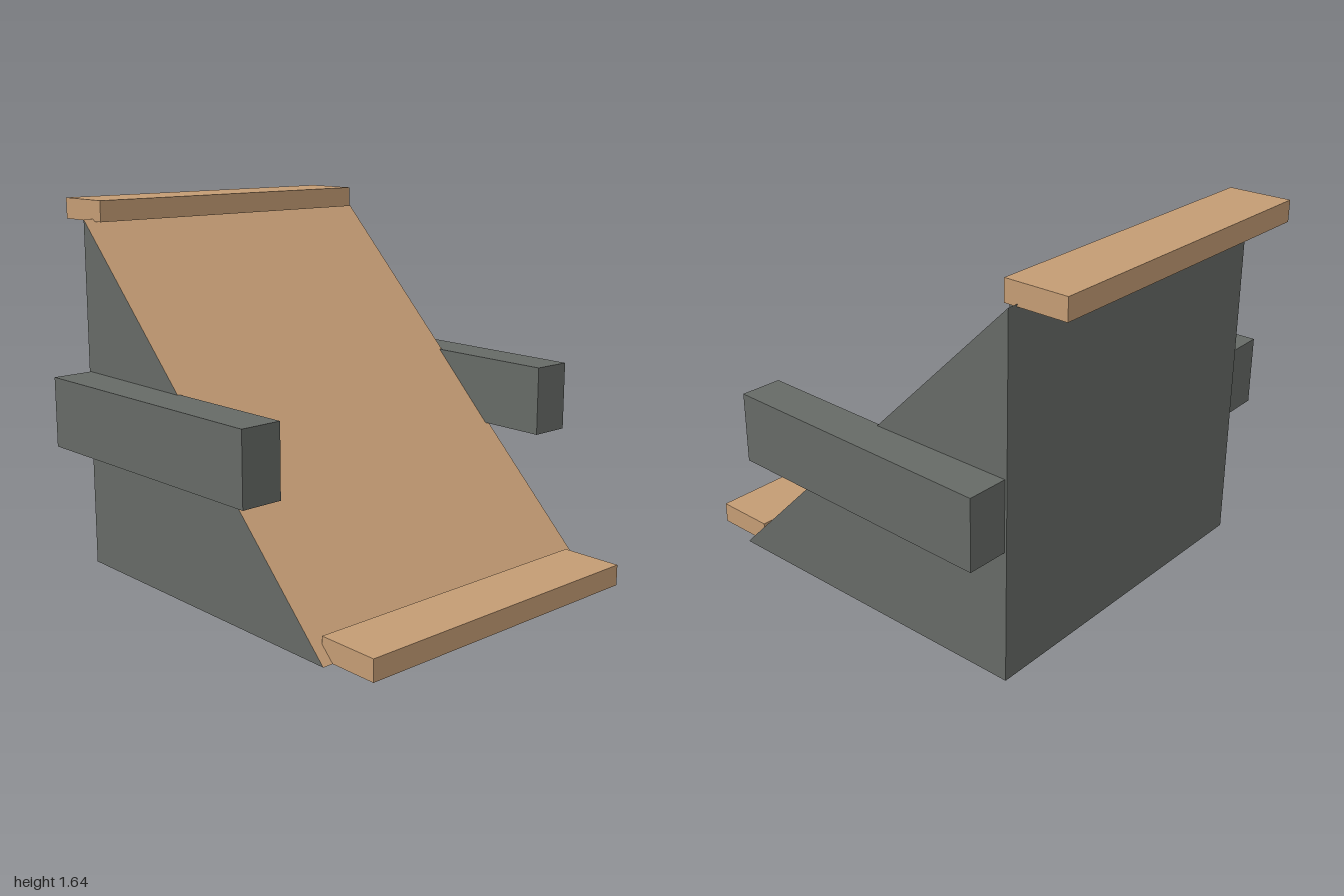
import * as THREE from 'three';

const wood = new THREE.MeshStandardMaterial({ color: 0xc49c74, flatShading: true });
const grey = new THREE.MeshStandardMaterial({ color: 0x666a66, flatShading: true });

const SIZE = 1.56; // width, height and depth of the wedge

function addMesh(group, name, geometry, material, x, y, z) {
  const mesh = new THREE.Mesh(geometry, material);
  mesh.name = name;
  mesh.position.set(x, y, z);
  group.add(mesh);
  return mesh;
}

// A cube with its top front edge dropped to the floor; keeps only the listed triangles
function wedgeFaces(triangles) {
  const geo = new THREE.BoxGeometry(SIZE, SIZE, SIZE);
  const pos = geo.attributes.position;
  for (let i = 0; i < pos.count; i++) {
    if (pos.getZ(i) > 0) pos.setY(i, -SIZE / 2);
  }
  const index = geo.index.array;
  geo.setIndex(triangles.flatMap((t) => [index[3 * t], index[3 * t + 1], index[3 * t + 2]]));
  geo.clearGroups();
  const flat = geo.toNonIndexed();
  flat.computeVertexNormals();
  return flat;
}

export function createModel() {
  const model = new THREE.Group();
  model.name = 'ramp';

  // Wedge: grey sides, base and back, with a wooden sloping face
  addMesh(model, 'wedgeBody', wedgeFaces([1, 2, 6, 7, 10, 11]), grey, 0, SIZE / 2, 0);
  addMesh(model, 'slopeSurface', wedgeFaces([4, 5]), wood, 0, SIZE / 2, 0);

  // Planks at the foot and the top of the slope
  const plank = new THREE.BoxGeometry(1.465, 0.093, 0.28);
  addMesh(model, 'bottomPlank', plank, wood, 0, 0.0465, 0.86);
  addMesh(model, 'topPlank', plank, wood, 0, 1.596, -0.86);

  // Side beams, toed in slightly towards the front
  const beam = new THREE.BoxGeometry(0.185, 0.31, 1.283);
  for (const side of [1, -1]) {
    const name = side > 0 ? 'leftBeam' : 'rightBeam';
    addMesh(model, name, beam, grey, side * 0.86, 0.735, -0.127).rotation.y = -side * 0.019;
  }

  return model;
}
